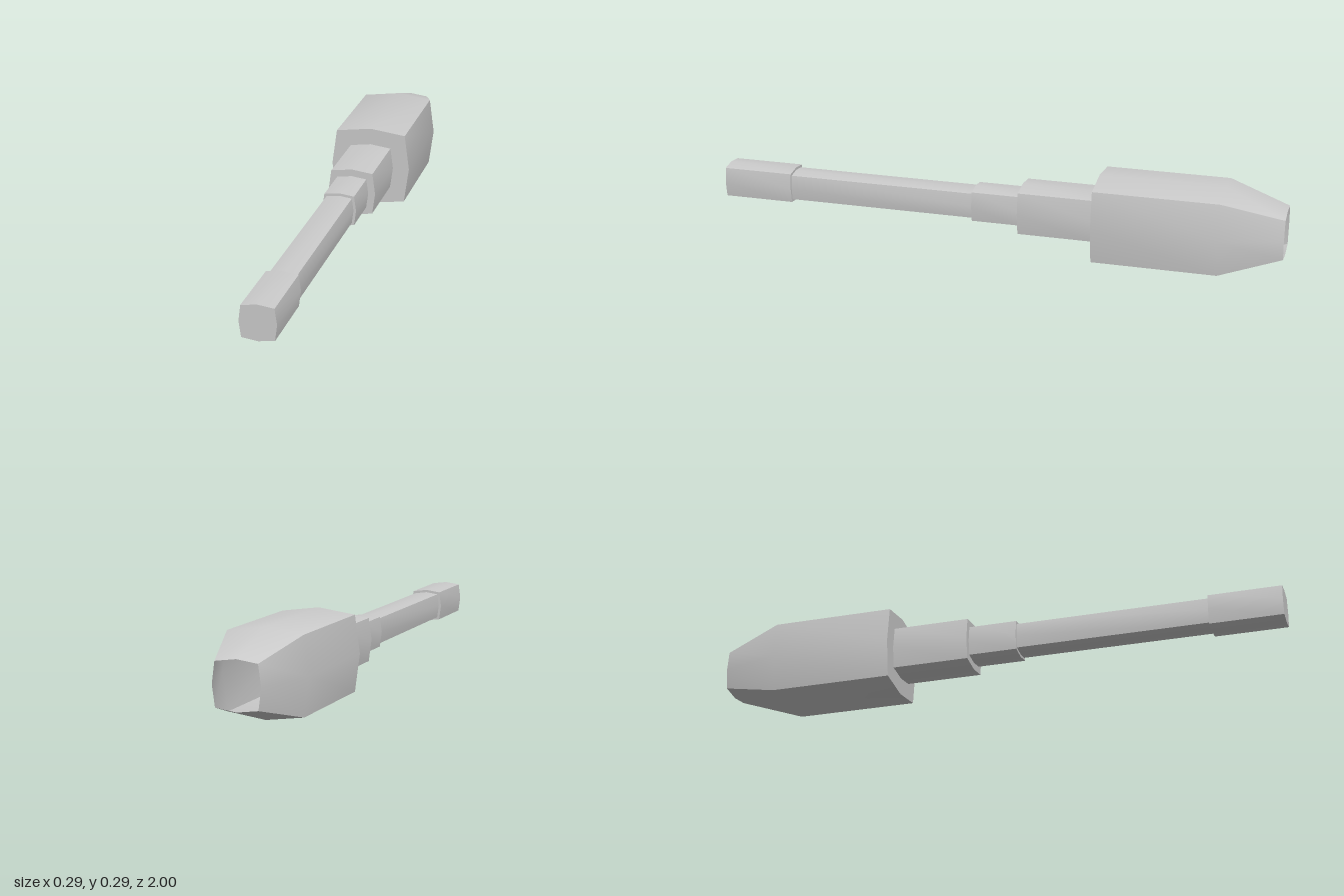
import * as THREE from 'three';
import { toCreasedNormals } from 'three/addons/utils/BufferGeometryUtils.js';

const AXIS_Y = 0.146;
const SIDES = 8;
const CORNER = 0.88; // corner offset relative to the bulge at the middle of each side

// Point on the bulged-square cross-section, counter-clockwise seen from +z
function ringPoint(i, r, z) {
  const a = (i % SIDES) * Math.PI / 4;
  const d = i % 2 ? r * CORNER * Math.SQRT2 : r;
  return [Math.cos(a) * d, AXIS_Y + Math.sin(a) * d, z];
}

// Skin a list of [z, radius] sections, running from front to back
function loft(sections) {
  const pos = [];
  for (let s = 0; s < sections.length - 1; s++) {
    const [z0, r0] = sections[s];
    const [z1, r1] = sections[s + 1];
    for (let i = 0; i < SIDES; i++) {
      const a = ringPoint(i, r0, z0), b = ringPoint(i + 1, r0, z0);
      const c = ringPoint(i, r1, z1), d = ringPoint(i + 1, r1, z1);
      if (r0 > 0) pos.push(...a, ...c, ...b);
      if (r1 > 0) pos.push(...b, ...c, ...d);
    }
  }
  const geometry = new THREE.BufferGeometry();
  geometry.setAttribute('position', new THREE.Float32BufferAttribute(pos, 3));
  return toCreasedNormals(geometry, Math.PI / 5);
}

export function createModel() {
  const group = new THREE.Group();
  const material = new THREE.MeshStandardMaterial({ color: 0xcccccc, side: THREE.DoubleSide });

  // Each part starts with the step up from its neighbour; the head is open at the back
  const parts = {
    frontTip: [[1, 0], [1, 0.06], [0.75, 0.06], [0.75, 0.051]],
    shaft: [[0.75, 0.051], [0.08, 0.051]],
    collar: [[0.08, 0.051], [0.08, 0.06], [-0.09, 0.06]],
    neck: [[-0.09, 0.06], [-0.09, 0.085], [-0.36, 0.085]],
    head: [[-0.36, 0.085], [-0.36, 0.145], [-0.79, 0.145], [-1, 0.08]],
  };
  for (const [name, sections] of Object.entries(parts)) {
    const mesh = new THREE.Mesh(loft(sections), material);
    mesh.name = name;
    group.add(mesh);
  }
  return group;
}
